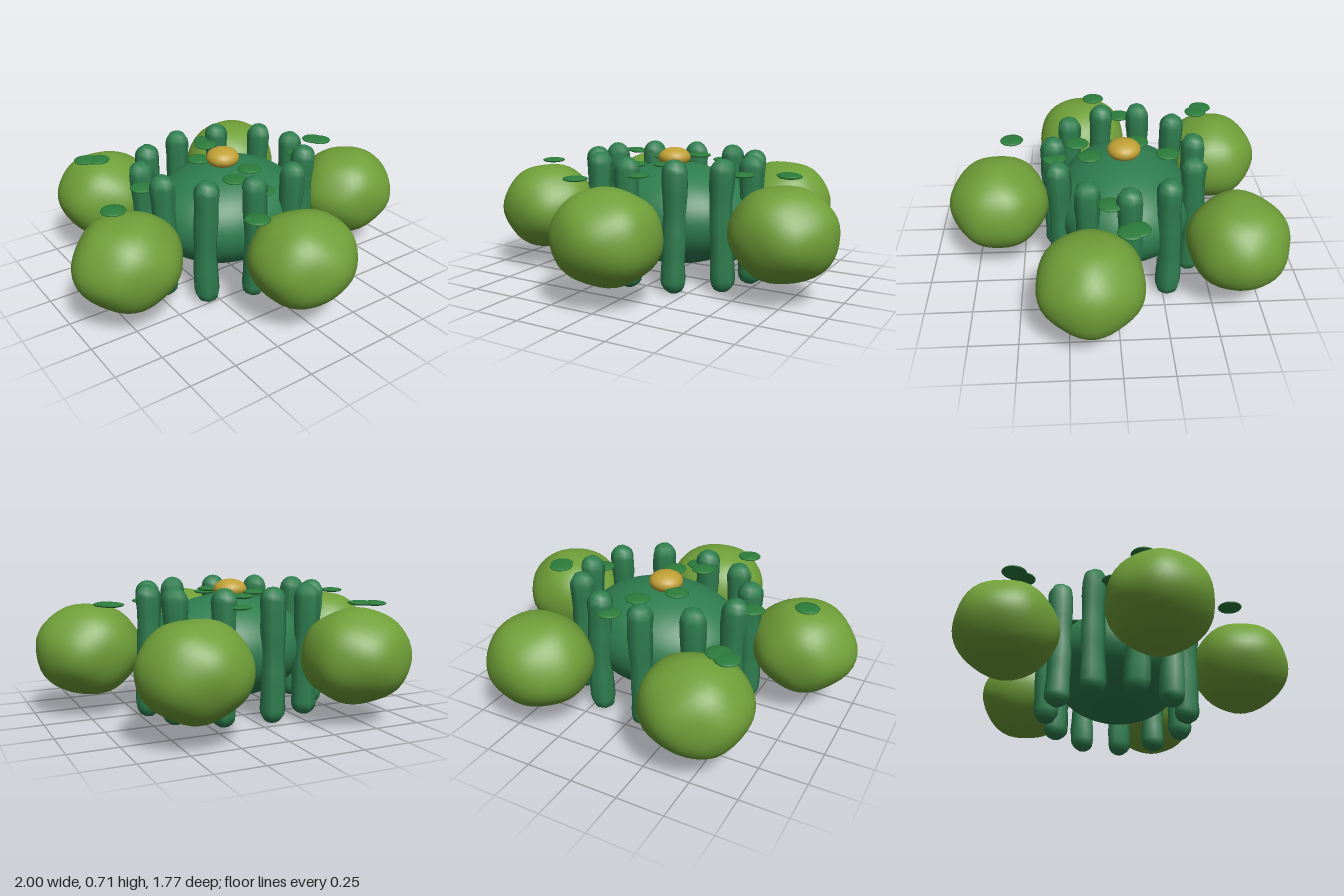
import * as THREE from 'three';
import { mergeVertices } from 'three/addons/utils/BufferGeometryUtils.js';

const mat = (color) => new THREE.MeshStandardMaterial({ color });

// Rounded lump: a welded icosphere pushed in and out by smooth waves
function lumpGeometry(seed, bump) {
  let geo = new THREE.IcosahedronGeometry(1, 7);
  geo.deleteAttribute('normal');
  geo.deleteAttribute('uv');
  geo = mergeVertices(geo);
  const p = geo.attributes.position;
  const v = new THREE.Vector3();
  for (let i = 0; i < p.count; i++) {
    v.fromBufferAttribute(p, i);
    const wave = Math.sin(v.x * 5 + seed) * Math.sin(v.y * 5 + seed * 2) +
      Math.sin(v.z * 6 + seed * 3) * Math.cos(v.x * 4 - seed);
    v.multiplyScalar(1 + bump * wave);
    p.setXYZ(i, v.x, v.y, v.z);
  }
  geo.computeVertexNormals();
  return geo;
}

// Round-ended, slightly waisted seven-sided column standing near y = 0
function columnGeometry(seed) {
  const r = 0.068, bottom = 0.01, top = 0.71;
  const points = [];
  for (let i = 0; i <= 4; i++) {
    const a = (i / 4) * Math.PI / 2;
    points.push(new THREE.Vector2(r * Math.sin(a), bottom + r * (1 - Math.cos(a))));
  }
  for (let i = 1; i < 8; i++) {
    const y = bottom + r + (top - bottom - 2 * r) * i / 8;
    points.push(new THREE.Vector2(r - 0.006 * Math.sin(i / 8 * Math.PI) + 0.003 * Math.sin(i * 1.7 + seed), y));
  }
  for (let i = 4; i >= 0; i--) {
    const a = (i / 4) * Math.PI / 2;
    points.push(new THREE.Vector2(r * Math.sin(a), top - r * (1 - Math.cos(a))));
  }
  const geo = new THREE.LatheGeometry(points, 7);
  // Gentle sideways sway
  const p = geo.attributes.position;
  for (let i = 0; i < p.count; i++) {
    const y = p.getY(i);
    p.setX(i, p.getX(i) + 0.005 * Math.sin(y * 8 + seed));
    p.setZ(i, p.getZ(i) + 0.005 * Math.cos(y * 8 + seed * 2));
  }
  return geo;
}

export function createModel() {
  const model = new THREE.Group();
  const add = (name, geometry, material, position, scale = [1, 1, 1]) => {
    const mesh = new THREE.Mesh(geometry, material);
    mesh.name = name;
    mesh.position.set(...position);
    mesh.scale.set(...scale);
    model.add(mesh);
    return mesh;
  };

  const bodyMat = mat(0x2e7d4f);
  const columnMat = mat(0x2f7f50);
  const lobeMat = mat(0x6f9f38);
  const padMat = mat(0x2c7d3c);
  const budMat = mat(0xc0a035);

  // Central body with the bud on its crown
  add('body', new THREE.SphereGeometry(1, 40, 28), bodyMat, [0.01, 0.36, -0.06], [0.45, 0.28, 0.375]);
  add('bud', new THREE.SphereGeometry(1, 24, 16), budMat, [-0.01, 0.665, -0.065], [0.09, 0.055, 0.09]);

  // Oval ring of columns
  const count = 11;
  for (let i = 0; i < count; i++) {
    const a = (i / count) * Math.PI * 2;
    const column = add('column', columnGeometry(i * 1.3), columnMat,
      [-0.006 + 0.465 * Math.cos(a), 0, -0.065 + 0.383 * Math.sin(a)]);
    column.rotation.y = -a;
  }

  // Five large outer lobes
  [[0, 0.617], [0.72, 0.14], [0.425, -0.62], [-0.457, -0.61], [-0.72, 0.15]].forEach(([x, z], i) =>
    add('lobe', lumpGeometry(i * 2.1 + 0.5, 0.018), lobeMat, [x, 0.36, z], [0.278, 0.242, 0.262]));

  // Thin round pads: x, z, height
  const low = 0.615, high = 0.652;
  const padGeo = new THREE.SphereGeometry(1, 20, 10);
  [
    [-0.59, -0.565, low], [-0.53, -0.53, low], [0.115, -0.435, low], [-0.505, -0.07, low],
    [0.445, 0.03, low], [0.655, -0.085, low], [0.675, -0.05, low], [-0.745, 0.077, low],
    [-0.02, 0.307, low], [-0.233, 0.548, low],
    [0.03, -0.295, high], [-0.113, -0.142, high], [0.035, 0.12, high], [-0.108, 0.185, high],
  ].forEach(([x, z, y]) => add('pad', padGeo, padMat, [x, y, z], [0.064, 0.013, 0.064]));

  return model;
}
